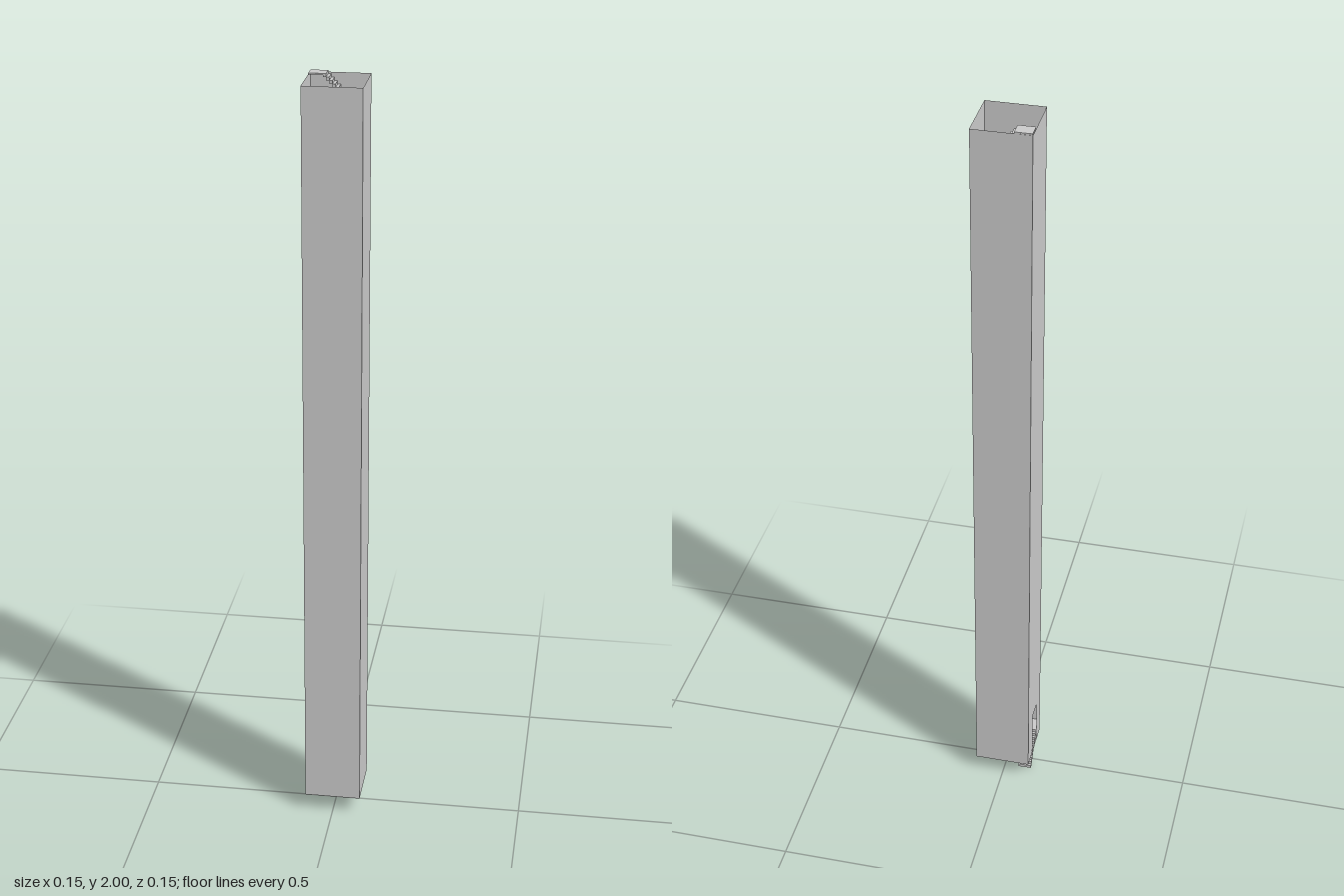
import * as THREE from 'three';

const HALF = 0.074;      // half width of the tower
const INNER = 0.038;     // half width of the open stairwell
const FLOOR = 0.047, TOP = 1.996;
const FLIGHTS = 24, STEPS = 10;

export function createModel() {
  const model = new THREE.Group();
  const mat = new THREE.MeshStandardMaterial({ color: 0xcccccc, flatShading: true, side: THREE.DoubleSide });

  const add = (parent, name, geometry, x = 0, y = 0, z = 0) => {
    const mesh = new THREE.Mesh(geometry, mat);
    mesh.name = name;
    mesh.position.set(x, y, z);
    parent.add(mesh);
    return mesh;
  };
  const rect = (Type, x0, y0, x1, y1) =>
    new Type().moveTo(x0, y0).lineTo(x1, y0).lineTo(x1, y1).lineTo(x0, y1).closePath();

  // Four thin walls, the one on the -x side with a doorway at floor level
  ['frontWall', 'leftWall', 'backWall', 'rightWall'].forEach((name, i) => {
    const shape = rect(THREE.Shape, -HALF, FLOOR, HALF, TOP);
    if (name === 'rightWall') shape.holes.push(rect(THREE.Path, -0.022, FLOOR + 0.001, 0.03, 0.183));
    const side = new THREE.Group();
    side.name = name + 'Side';
    side.rotation.y = i * Math.PI / 2;
    add(side, name, new THREE.ShapeGeometry(shape), 0, 0, HALF);
    model.add(side);
  });

  // Floor slab
  add(model, 'floor', new THREE.BoxGeometry(2 * HALF, 0.001, 2 * HALF), 0, FLOOR + 0.0005, 0);

  // Stairs winding up along the walls, one flight and one corner landing per side
  const rise = 2 / FLIGHTS, stepRise = rise / STEPS, stepRun = 2 * INNER / STEPS;
  const width = HALF - 0.0005 - INNER, mid = INNER + width / 2;
  const stepGeometry = new THREE.BoxGeometry(width, stepRise, stepRun);
  const landingGeometry = new THREE.BoxGeometry(width, 0.004, width);
  for (let f = 0; f < FLIGHTS; f++) {
    const flight = new THREE.Group();
    flight.name = 'flight';
    flight.rotation.y = f * Math.PI / 2;
    flight.position.y = f * rise;
    for (let s = 0; s < STEPS; s++) {
      add(flight, 'step', stepGeometry, -mid, (s + 0.5) * stepRise, -INNER + (s + 0.5) * stepRun);
    }
    add(flight, 'landing', landingGeometry, -mid, rise - 0.002, mid);
    model.add(flight);
  }
  return model;
}
